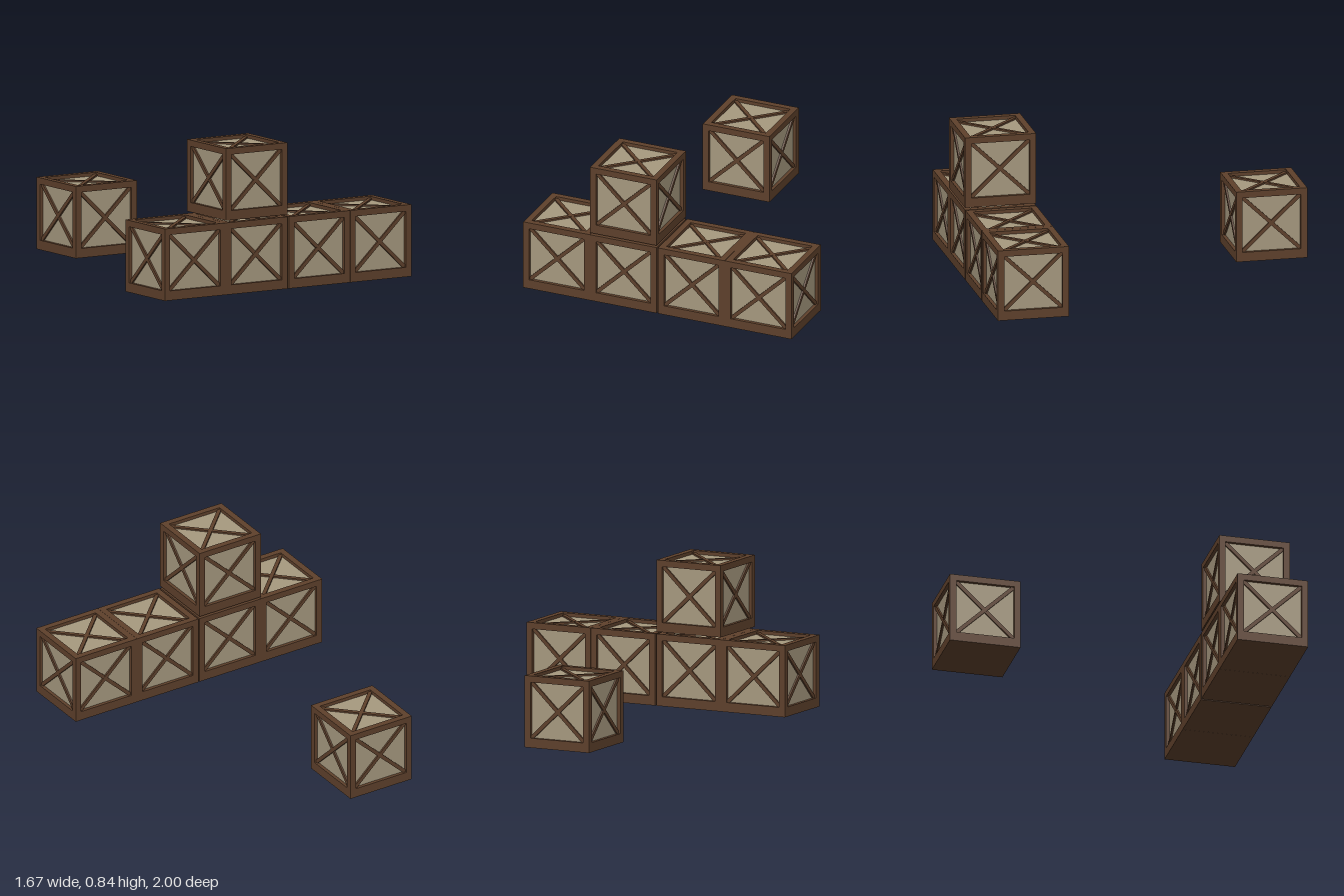
import * as THREE from 'three';

const SIZE = 0.415;      // crate edge
const FRAME = 0.037;     // post and rail thickness
const BASE = 0.055;      // solid bottom slab
const RECESS = 0.02;     // panel depth behind the frame
const BRACE_W = 0.022;
const BRACE_D = 0.01;    // how far braces stand out of the panel

const wood = new THREE.MeshStandardMaterial({ color: 0x5e402b });
const panelWood = new THREE.MeshStandardMaterial({ color: 0xa6997f });

function addBox(parent, name, material, w, h, d, x, y, z) {
  const mesh = new THREE.Mesh(new THREE.BoxGeometry(w, h, d), material);
  mesh.name = name;
  mesh.position.set(x, y, z);
  parent.add(mesh);
  return mesh;
}

// Two diagonal bars crossing a w x h opening, lying in the XY plane
function crossBrace(w, h) {
  const cross = new THREE.Group();
  cross.name = 'crossBrace';
  const length = Math.hypot(w, h);
  [1, -1].forEach((s, i) => {
    // one bar sits a hair lower so the faces do not coincide
    const bar = addBox(cross, 'braceBar', wood, length, BRACE_W, BRACE_D * 2 - i * 0.001, 0, 0, 0);
    bar.rotation.z = s * Math.atan2(h, w);
  });
  return cross;
}

function createCrate() {
  const crate = new THREE.Group();
  const half = SIZE / 2;
  const edge = half - FRAME / 2;
  const open = SIZE - 2 * FRAME;
  const openH = SIZE - BASE - FRAME;
  const midY = BASE + openH / 2;
  const inner = SIZE - 2 * RECESS;

  // Recessed panels and solid base
  const panelH = SIZE - RECESS - BASE;
  addBox(crate, 'panels', panelWood, inner, panelH, inner, 0, BASE + panelH / 2, 0);
  addBox(crate, 'base', wood, SIZE, BASE, SIZE, 0, BASE / 2, 0);

  // Corner posts and top rails
  for (const sx of [-1, 1]) {
    for (const sz of [-1, 1]) {
      addBox(crate, 'cornerPost', wood, FRAME, SIZE - BASE, FRAME,
        sx * edge, BASE + (SIZE - BASE) / 2, sz * edge);
    }
    addBox(crate, 'topRail', wood, open, FRAME, FRAME, 0, SIZE - FRAME / 2, sx * edge);
    addBox(crate, 'topRail', wood, FRAME, FRAME, open, sx * edge, SIZE - FRAME / 2, 0);
  }

  // Braces on the four sides
  for (let i = 0; i < 4; i++) {
    const a = i * Math.PI / 2;
    const side = crossBrace(open, openH);
    side.rotation.y = a;
    side.position.set(Math.sin(a) * inner / 2, midY, Math.cos(a) * inner / 2);
    crate.add(side);
  }
  // Braces on the lid
  const lid = crossBrace(open, open);
  lid.rotation.x = -Math.PI / 2;
  lid.position.y = SIZE - RECESS;
  crate.add(lid);
  return crate;
}

export function createModel() {
  const model = new THREE.Group();
  model.name = 'crateStack';
  const z = 1 - SIZE / 2;
  const places = [
    ['rowCrate1', -0.628, 0, z],
    ['rowCrate2', -0.212, 0, z],
    ['rowCrate3', 0.212, 0, z],
    ['rowCrate4', 0.628, 0, z],
    ['stackedCrate', -0.212, 0.428, z],
    ['separateCrate', -0.212, 0, -z],
  ];
  for (const [name, x, y, pz] of places) {
    const crate = createCrate();
    crate.name = name;
    crate.position.set(x, y, pz);
    model.add(crate);
  }
  return model;
}
